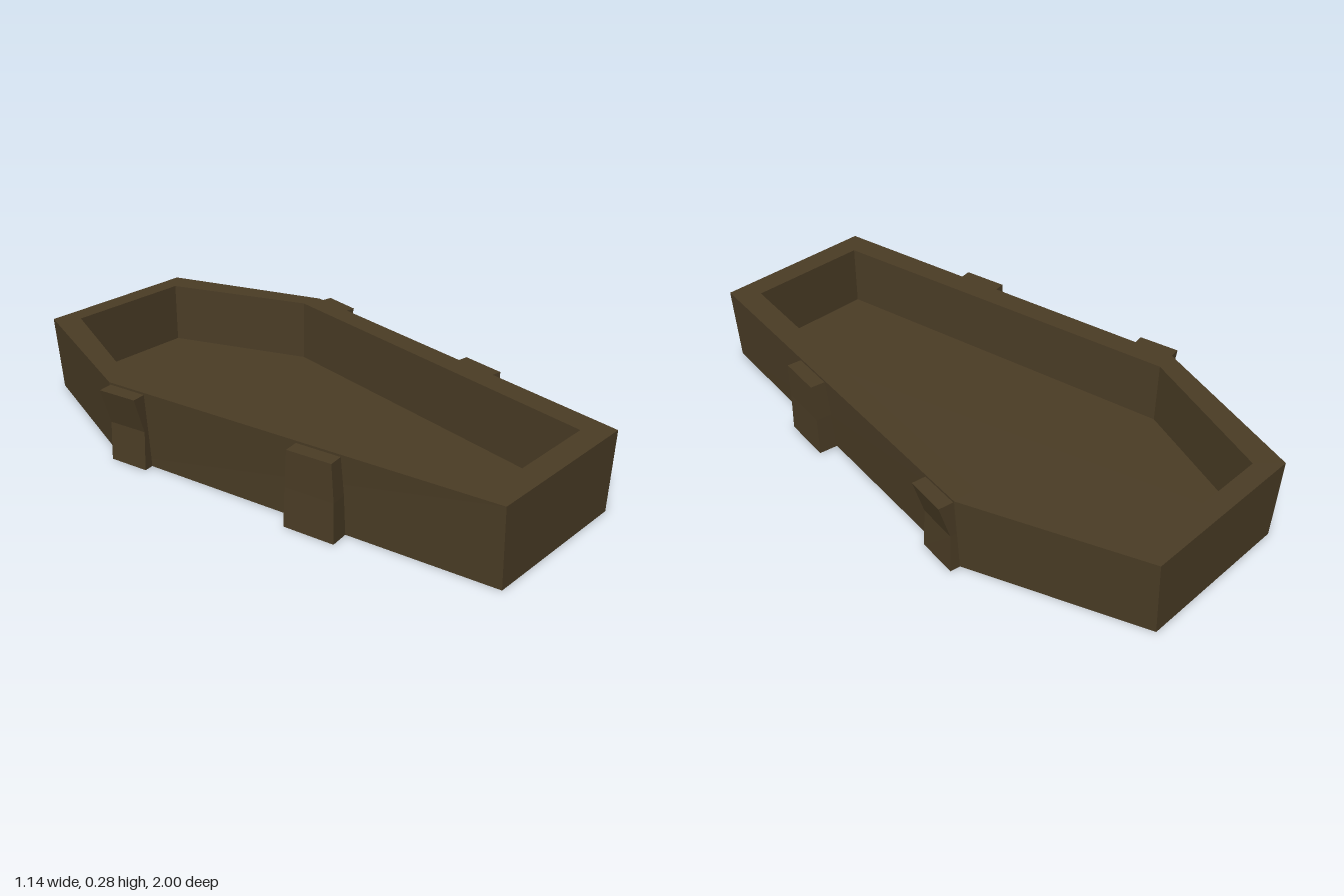
import * as THREE from 'three';

// Skin a stack of rings ([x, y, z] points, counterclockwise from above) and cap both ends; flat shaded
function loft(rings) {
  const pos = [];
  const tri = (a, b, c) => pos.push(...a, ...b, ...c);
  const n = rings[0].length;
  for (let r = 0; r < rings.length - 1; r++) {
    for (let i = 0; i < n; i++) {
      const j = (i + 1) % n;
      const [a, b] = [rings[r], rings[r + 1]];
      tri(a[i], a[j], b[j]);
      tri(a[i], b[j], b[i]);
    }
  }
  const first = rings[0], last = rings[rings.length - 1];
  for (let i = 1; i < n - 1; i++) {
    tri(first[0], first[i + 1], first[i]);
    tri(last[0], last[i], last[i + 1]);
  }
  const g = new THREE.BufferGeometry();
  g.setAttribute('position', new THREE.Float32BufferAttribute(pos, 3));
  g.computeVertexNormals();
  return g;
}

// Six-sided outline: foot, shoulder and head half widths with their z positions
function hexRing(y, [footX, footZ], [midX, midZ], [headX, headZ]) {
  return [
    [footX, y, footZ], [midX, y, midZ], [headX, y, headZ],
    [-headX, y, headZ], [-midX, y, midZ], [-footX, y, footZ],
  ];
}

// Bracket section: outer front and back corners, carried inwards into the wall
function bracketRing([y, frontX, frontZ, backX, backZ], side) {
  const depth = 0.085, skew = 0.013;
  const ring = [
    [frontX, y, frontZ], [backX, y, backZ],
    [backX - depth, y, backZ - skew], [frontX - depth, y, frontZ - skew],
  ].map(([x, h, z]) => [x * side, h, z]);
  return side > 0 ? ring : ring.reverse();
}

export function createModel() {
  const group = new THREE.Group();
  const wood = new THREE.MeshStandardMaterial({ color: 0x4a3c25 });
  wood.name = 'darkWood';

  const add = (name, rings) => {
    const mesh = new THREE.Mesh(loft(rings), wood);
    mesh.name = name;
    group.add(mesh);
  };

  // Open box: outer walls, rim, inner walls and floor
  const inner = [[0.225, 0.915], [0.44, -0.42], [0.235, -0.93]];
  add('openBox', [
    hexRing(0, [0.287, 1], [0.5, -0.41], [0.287, -1]),
    hexRing(0.28, [0.302, 1], [0.52, -0.41], [0.307, -1]),
    hexRing(0.28, ...inner),
    hexRing(0.055, ...inner),
  ]);

  // Side brackets: [y, front x, front z, back x, back z], bottom to top
  const shoulder = [
    [0, 0.512, -0.262, 0.535, -0.405],
    [0.14, 0.505, -0.262, 0.53, -0.402],
    [0.272, 0.545, -0.256, 0.57, -0.397],
  ];
  const lower = [
    [0, 0.43, 0.498, 0.457, 0.318],
    [0.14, 0.428, 0.495, 0.455, 0.322],
    [0.272, 0.432, 0.488, 0.457, 0.332],
  ];
  for (const [label, side] of [['left', 1], ['right', -1]]) {
    add(label + 'ShoulderBracket', shoulder.map((s) => bracketRing(s, side)));
    add(label + 'LowerBracket', lower.map((s) => bracketRing(s, side)));
  }
  return group;
}
